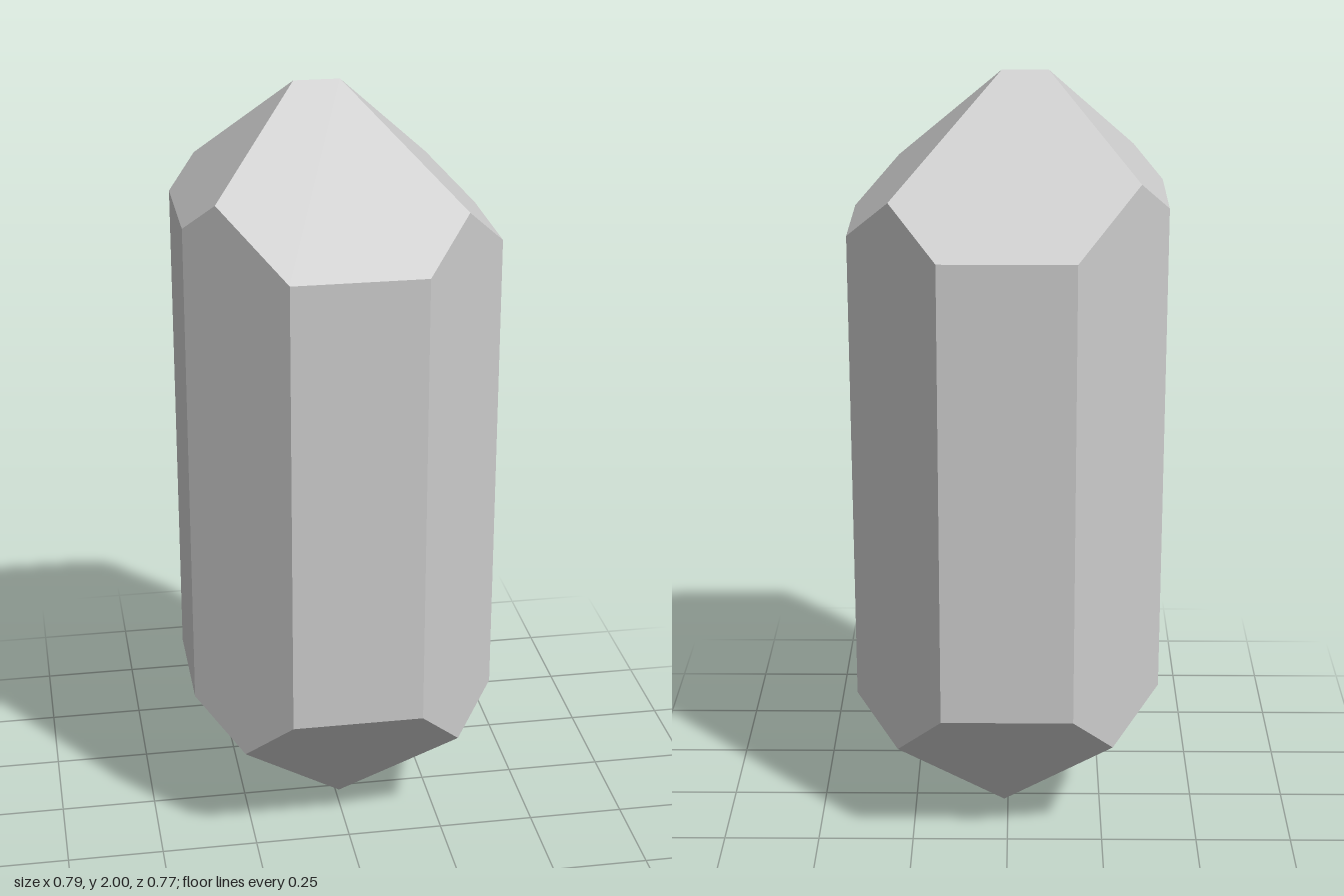
import * as THREE from 'three';
import { ConvexGeometry } from 'three/addons/geometries/ConvexGeometry.js';

// Octagonal cross-section: half extents and the |x| + |z| of the chamfered sides
const HALF_X = 0.395, HALF_Z = 0.385, CHAMFER = 0.553;

// Each tip has four sloping facets, given as [ridge offset, slope];
// x facets start at ridge.x, z facets at ridge.z, measured outwards.
const TOP = {
  x: { 1: [0.015, 1.0], '-1': [0.1, 1.05] },
  z: { 1: [0, 1.013], '-1': [0, 1.013] },
};
const BOTTOM = {
  x: { 1: [0.01, 1.0], '-1': [-0.01, 1.012] },
  z: { 1: [0.025, 1.167], '-1': [0.03, 1.155] },
};

// Points of one tip: ridge ends, octagon corners and the hips between facets
function tipPoints(tip, height) {
  const points = [];
  for (const sx of [1, -1]) {
    for (const sz of [1, -1]) {
      const [x0, kx] = tip.x[sx];
      const [z0, kz] = tip.z[sz];
      const add = (x, z, drop) => points.push(new THREE.Vector3(sx * x, height(drop), sz * z));
      const hipZ = (kx * (CHAMFER - x0) + kz * z0) / (kx + kz);
      add(HALF_X, CHAMFER - HALF_X, kx * (HALF_X - x0));
      add(CHAMFER - hipZ, hipZ, kz * (hipZ - z0));
      add(CHAMFER - HALF_Z, HALF_Z, kz * (HALF_Z - z0));
      // Ridge end (shared ends are added once)
      const end = new THREE.Vector3(sx * x0, height(0), sz * z0);
      if (!points.some((p) => p.distanceTo(end) < 1e-6)) points.push(end);
    }
  }
  return points;
}

export function createModel() {
  const group = new THREE.Group();
  group.name = 'crystal';

  // Faceted prism with a chisel point at each end
  const geometry = new ConvexGeometry([
    ...tipPoints(TOP, (d) => 2 - d),
    ...tipPoints(BOTTOM, (d) => d),
  ]);
  const material = new THREE.MeshStandardMaterial({ color: 0xcccccc, flatShading: true });
  const body = new THREE.Mesh(geometry, material);
  body.name = 'crystalBody';
  group.add(body);
  return group;
}
